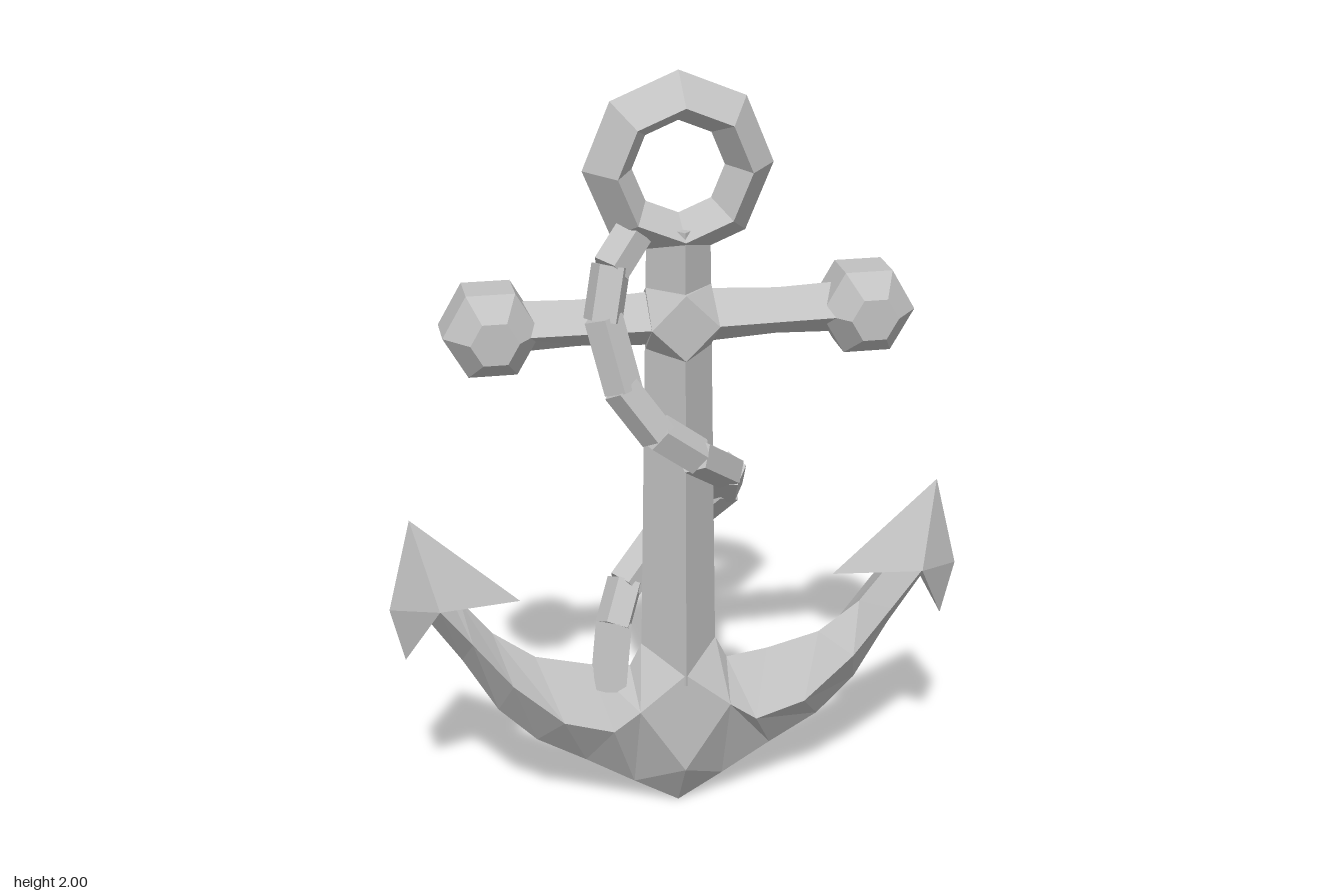
import * as THREE from 'three';
import { ConvexGeometry } from 'three/addons/geometries/ConvexGeometry.js';

const iron = new THREE.MeshStandardMaterial({ color: 0xc1c1c1, flatShading: true });
iron.name = 'iron grey';

const V = (x, y, z) => new THREE.Vector3(x, y, z);

function part(name, geometry) {
  const mesh = new THREE.Mesh(geometry, iron);
  mesh.name = name;
  return mesh;
}

// Four-sided loft: each section is a loop of top, front, bottom and back points
function loft(sections) {
  const pos = [], idx = [];
  sections.forEach(s => s.forEach(p => pos.push(p.x, p.y, p.z)));
  for (let s = 0; s < sections.length - 1; s++) {
    for (let i = 0; i < 4; i++) {
      const j = (i + 1) % 4, a = s * 4, b = a + 4;
      idx.push(a + i, a + j, b + j, a + i, b + j, b + i);
    }
  }
  const e = (sections.length - 1) * 4;
  idx.push(0, 2, 1, 0, 3, 2, e, e + 1, e + 2, e, e + 2, e + 3);
  const g = new THREE.BufferGeometry();
  g.setAttribute('position', new THREE.Float32BufferAttribute(pos, 3));
  g.setIndex(idx);
  g.computeVertexNormals();
  return g;
}

function lathe(profile, sides) {
  return new THREE.LatheGeometry(profile.map(p => new THREE.Vector2(p[0], p[1])), sides);
}

// Faceted bar between two points
function bar(a, b, radius, sides, extra) {
  const dir = b.clone().sub(a);
  const g = new THREE.CylinderGeometry(radius, radius, dir.length() + extra, sides);
  g.applyQuaternion(new THREE.Quaternion().setFromUnitVectors(V(0, 1, 0), dir.normalize()));
  const mid = a.clone().add(b).multiplyScalar(0.5);
  return g.translate(mid.x, mid.y, mid.z);
}

// Curved arm, pointed fluke, and half of the crossbar with its knob, on the +x side
function buildSide(name) {
  const side = new THREE.Group();
  side.name = name;

  // top x, y, ridge x, y, z, bottom x, y
  const arm = [
    [0.13, 0.42, 0.12, 0.33, 0.1, 0.12, 0.07],
    [0.24, 0.435, 0.19, 0.28, 0.1, 0.25, 0.15],
    [0.38, 0.47, 0.32, 0.32, 0.1, 0.38, 0.225],
    [0.49, 0.55, 0.45, 0.44, 0.1, 0.48, 0.325],
    [0.57, 0.65, 0.55, 0.57, 0.1, 0.57, 0.48],
    [0.6, 0.68, 0.63, 0.67, 0.095, 0.665, 0.62],
  ].map(([tx, ty, rx, ry, rz, bx, by]) =>
    [V(tx, ty, 0), V(rx, ry, rz), V(bx, by, 0), V(rx, ry, -rz)]);
  side.add(part('arm', loft(arm)));

  const tip = V(0.69, 0.885, 0);
  const ridge = [V(0.63, 0.67, 0.1), V(0.63, 0.67, -0.1)];
  side.add(part('innerBarb', new ConvexGeometry([tip, V(0.415, 0.635, 0), ...ridge])));
  side.add(part('outerBarb', new ConvexGeometry(
    [tip, V(0.75, 0.64, 0), V(0.715, 0.495, 0), ...ridge])));

  const stock = [[0.06, 0.07, 0.098], [0.25, 0.06, 0.092], [0.42, 0.066, 0.088]]
    .map(([x, h, d]) => [V(x, 1.38 + h, 0), V(x, 1.38, d), V(x, 1.38 - h, 0), V(x, 1.38, -d)]);
  side.add(part('crossbar', loft(stock)));

  const knob = lathe([[0, -0.125], [0.06, -0.125], [0.12, -0.055],
    [0.12, 0.055], [0.06, 0.125], [0, 0.125]], 6);
  knob.rotateY(Math.PI / 6).rotateX(Math.PI / 2).translate(0.472, 1.38, 0);
  side.add(part('knob', knob));
  return side;
}

export function createModel() {
  const anchor = new THREE.Group();
  anchor.name = 'anchor';

  // Eight-sided ring with a diamond section
  const ring = lathe([[0.115, 0], [0.165, -0.097], [0.237, 0], [0.165, 0.097], [0.115, 0]], 8);
  anchor.add(part('ring', ring.rotateX(Math.PI / 2).translate(0, 1.763, 0)));

  // Diamond-section shank
  const shank = new THREE.CylinderGeometry(0.08, 0.1, 1.22, 4);
  anchor.add(part('shank', shank.scale(1, 1, 1.08).translate(0, 1.01, 0)));

  // Faceted joint where the crossbar meets the shank
  const joint = [];
  for (const s of [-1, 1]) {
    for (const t of [-1, 1]) {
      joint.push(V(0.085 * s, 1.38, 0.1 * t), V(0, 1.38 + 0.085 * s, 0.1 * t),
        V(0.083 * s, 1.38 + 0.08 * t, 0));
    }
  }
  anchor.add(part('crossJoint', new ConvexGeometry(joint)));

  // Pointed crown at the foot
  const crown = [V(0, 0, 0)];
  for (const s of [-1, 1]) {
    crown.push(V(0, 0.43, 0.104 * s), V(0, 0.145, 0.1 * s), V(0.1 * s, 0.48, 0),
      V(0.13 * s, 0.42, 0), V(0.12 * s, 0.07, 0),
      V(0.12 * s, 0.33, 0.1), V(0.12 * s, 0.33, -0.1));
  }
  anchor.add(part('crown', new ConvexGeometry(crown)));

  // The sides match front to back, so a half turn mirrors them
  anchor.add(buildSide('leftSide'));
  const right = buildSide('rightSide');
  right.rotation.y = Math.PI;
  anchor.add(right);

  // Segmented rope winding round the shank
  const rope = new THREE.Group();
  rope.name = 'rope';
  const path = [
    [-0.12, 1.61, 0.03], [-0.18, 1.54, 0.07], [-0.205, 1.42, 0.1],
    [-0.165, 1.25, 0.13], [-0.08, 1.13, 0.14], [0.02, 1.05, 0.11], [0.125, 0.96, 0.01],
    [0.135, 0.88, -0.07], [0.07, 0.79, -0.135], [-0.03, 0.71, -0.145],
    [-0.125, 0.62, -0.085], [-0.165, 0.53, -0.03], [-0.19, 0.37, 0.02],
  ].map(p => V(...p));
  for (let i = 0; i < path.length - 1; i++) {
    rope.add(part('ropeSegment', bar(path[i], path[i + 1], 0.05, 5, 0.01)));
  }
  anchor.add(rope);
  return anchor;
}
